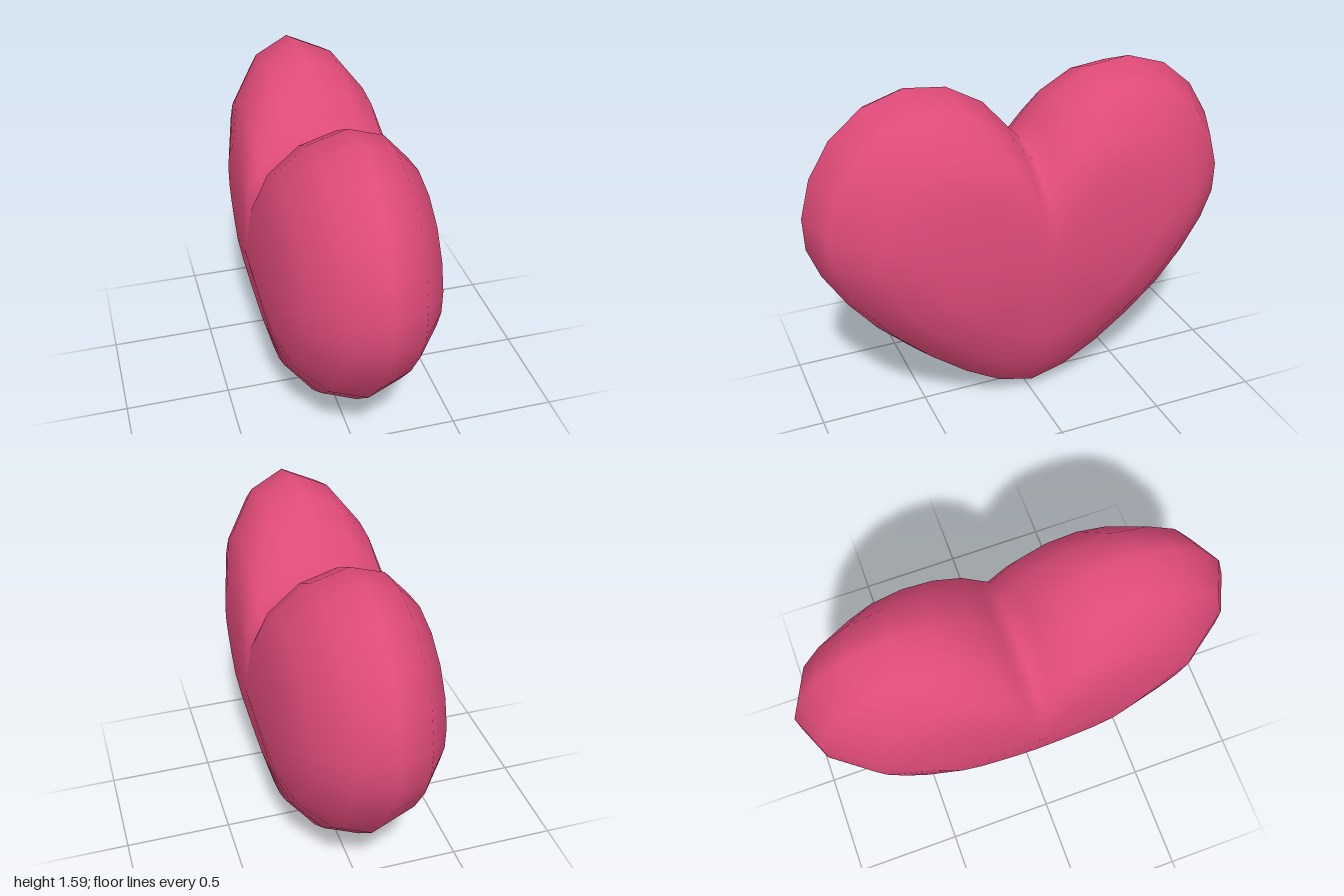
import * as THREE from 'three';

// Half outline of the heart as [z, y], from the cleft round to the bottom tip
const HALF = [
  [0, 1.28], [0.075, 1.365], [0.175, 1.48], [0.34, 1.573], [0.525, 1.594], [0.71, 1.535],
  [0.855, 1.415], [0.953, 1.255], [1, 1.08], [0.995, 0.93], [0.94, 0.785], [0.835, 0.615],
  [0.705, 0.455], [0.54, 0.3], [0.36, 0.158], [0.18, 0.05], [0, 0],
];

// Cross-section rings from middle of one face to the rim: [z scale, y scale, half thickness]
const RINGS = [[0.53, 0.48, 0.346], [0.75, 0.715, 0.29], [0.93, 0.918, 0.16], [1, 1, 0]];
const CENTRE_Y = 0.8;
const HALF_THICKNESS = 0.375;

function heartGeometry() {
  // Full closed outline: back half, then the mirrored front half
  const outline = [
    ...HALF.map(([z, y]) => [-z, y]),
    ...HALF.slice(1, -1).reverse(),
  ];
  const n = outline.length;
  const rings = [
    ...RINGS,
    ...RINGS.slice(0, -1).reverse().map(([sz, sy, x]) => [sz, sy, -x]),
  ];

  const positions = [];
  for (const [sz, sy, x] of rings) {
    for (const [z, y] of outline) {
      // the body thins slightly towards the bottom tip
      const tip = Math.max(0, 1 - y / 0.4);
      positions.push(x * (1 - 0.1 * tip), CENTRE_Y + (y - CENTRE_Y) * sy, z * sz);
    }
  }
  const poleA = positions.length / 3;
  positions.push(HALF_THICKNESS, CENTRE_Y, 0, -HALF_THICKNESS, CENTRE_Y, 0);

  const index = [];
  const last = (rings.length - 1) * n;
  for (let i = 0; i < n; i++) {
    const j = (i + 1) % n;
    index.push(poleA, j, i, poleA + 1, last + i, last + j);
    for (let k = 0; k < rings.length - 1; k++) {
      const a = k * n + i, b = k * n + j;
      index.push(a, b, a + n, b, b + n, a + n);
    }
  }

  const geometry = new THREE.BufferGeometry();
  geometry.setAttribute('position', new THREE.Float32BufferAttribute(positions, 3));
  geometry.setIndex(index);
  geometry.computeVertexNormals();
  return geometry;
}

export function createModel() {
  const group = new THREE.Group();
  group.name = 'heartModel';
  const heart = new THREE.Mesh(
    heartGeometry(),
    new THREE.MeshStandardMaterial({ color: 0xdf4b79 }),
  );
  heart.name = 'heart';
  group.add(heart);
  return group;
}
